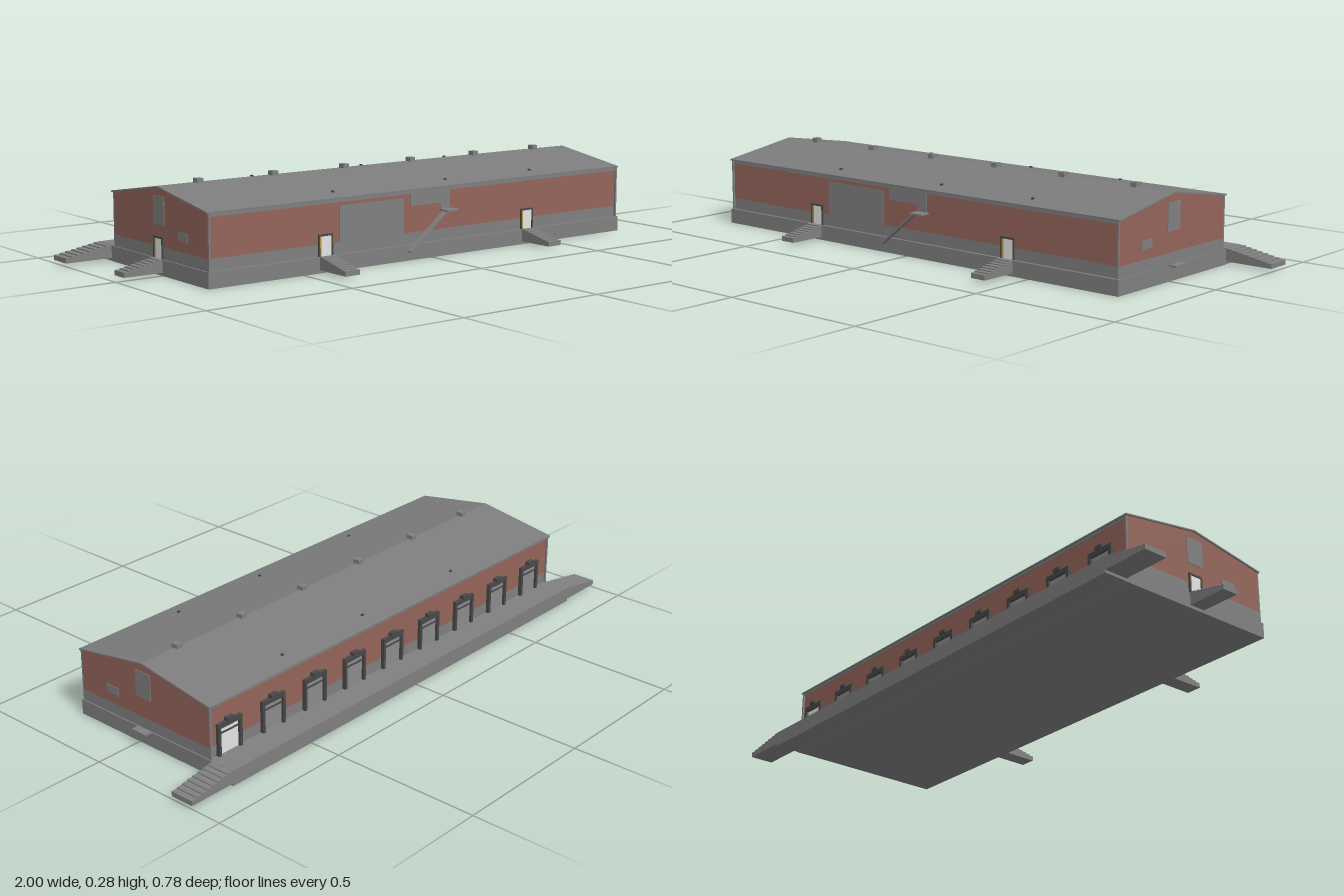
import * as THREE from 'three';

const mat = (name, color) => Object.assign(new THREE.MeshStandardMaterial({ color }), { name });

export function createModel() {
  const concrete = mat('concrete', 0x808080);
  const roofing = mat('roofing', 0x7c7c7c);
  const brick = mat('brick', 0x94655a);
  const dark = mat('dark steel', 0x484848);
  const pale = mat('pale door', 0xe4e4e2);
  const shutter = mat('shutter grey', 0x8c8c8c);
  const yellow = mat('yellow', 0xb4923c);

  const root = new THREE.Group();
  root.name = 'warehouse';

  const add = (name, geo, material, parent = root) => {
    const m = new THREE.Mesh(geo, material);
    m.name = name;
    parent.add(m);
    return m;
  };
  // Box given by its minimum and maximum on each axis
  const box = (name, material, x0, x1, y0, y1, z0, z1, parent = root) => {
    const m = add(name, new THREE.BoxGeometry(x1 - x0, y1 - y0, z1 - z0), material, parent);
    m.position.set((x0 + x1) / 2, (y0 + y1) / 2, (z0 + z1) / 2);
    return m;
  };
  // Profile of [z, y] points extruded along x
  const alongX = (name, material, pts, x0, x1) => {
    const shape = new THREE.Shape(pts.map(([z, y]) => new THREE.Vector2(-z, y)));
    const geo = new THREE.ExtrudeGeometry(shape, { depth: x1 - x0, bevelEnabled: false });
    geo.rotateY(Math.PI / 2).translate(x0, 0, 0);
    return add(name, geo, material);
  };
  // Stairs running outwards along local +x, flat underneath
  const stairs = (name, x, z, angle, run, width, steps = 8) => {
    const top = 0.051, low = 0.026, bottom = 0.01;
    const shape = new THREE.Shape();
    shape.moveTo(0, bottom);
    shape.lineTo(run, bottom);
    for (let i = steps - 1; i >= 0; i--) {
      const y = top - ((top - low) * i) / (steps - 1);
      shape.lineTo((run * (i + 1)) / steps, y);
      shape.lineTo((run * i) / steps, y);
    }
    const geo = new THREE.ExtrudeGeometry(shape, { depth: width, bevelEnabled: false });
    geo.translate(0, 0, -width / 2);
    const m = add(name, geo, concrete);
    m.position.set(x, 0, z);
    m.rotation.y = angle;
  };

  const L = -0.835, R = 0.832, F = 0.25, B = -0.295, ridge = -0.022;

  // Foundation and loading platform
  box('foundation', concrete, -0.84, 0.836, 0, 0.05, -0.31, 0.26);
  box('loadingPlatform', concrete, -0.84, 0.836, 0.001, 0.052, -0.392, -0.31);

  // Walls
  box('plinth', concrete, L, R, 0.05, 0.087, B, F);
  alongX('brickWalls', brick, [[F, 0.087], [F, 0.222], [ridge, 0.267], [B, 0.222], [B, 0.087]], L, R);

  // Roof slopes as one bent sheet
  alongX('roof', roofing, [
    [0.258, 0.221], [0.258, 0.226], [ridge, 0.271], [-0.304, 0.226],
    [-0.304, 0.221], [ridge, 0.266],
  ], -0.84, 0.836);
  for (const [z0, z1] of [[0.205, 0.198], [-0.25, -0.243]])
    for (const x of [-0.35, 0.1, 0.47]) box('roofPin', dark, x - 0.004, x + 0.004, 0.23, 0.24, Math.min(z0, z1), Math.max(z0, z1));
  for (let i = 0; i < 6; i++) {
    const x = -0.695 + i * 0.277;
    box('roofVent', concrete, x - 0.011, x + 0.011, 0.264, 0.284, -0.034, -0.01);
  }

  // Eaves bands and corner downpipes
  box('frontEavesBand', concrete, L, R, 0.211, 0.224, F, F + 0.003);
  box('backEavesBand', concrete, L, R, 0.214, 0.224, B - 0.003, B);
  for (const x of [L + 0.003, R - 0.003]) {
    box('frontDownpipe', concrete, x - 0.003, x + 0.003, 0.05, 0.224, F, F + 0.006);
    box('backDownpipe', concrete, x - 0.003, x + 0.003, 0.05, 0.224, B - 0.006, B);
  }

  // Grey panels on the front wall
  box('largeFrontPanel', concrete, -0.36, -0.11, 0.087, 0.2, F, F + 0.002);
  box('upperFrontPanel', concrete, -0.083, 0.08, 0.172, 0.212, F, F + 0.002);
  box('upperFrontPanelStep', concrete, 0.04, 0.08, 0.15, 0.172, F, F + 0.002);

  // Outside flight to the upper front panel
  box('upperLanding', concrete, 0.04, 0.09, 0.146, 0.151, F, 0.288);
  const flight = add('upperFlight', new THREE.BoxGeometry(0.187, 0.006, 0.018), concrete);
  flight.position.set(-0.026, 0.088, 0.269);
  flight.rotation.z = Math.atan2(0.116, 0.143);

  // Gable panels
  for (const [x0, x1] of [[R, R + 0.002], [L - 0.002, L]]) {
    box('tallGablePanel', concrete, x0, x1, 0.153, 0.241, -0.054, 0.01);
    box('smallGablePanel', concrete, x0, x1, 0.119, 0.146, 0.09, 0.142);
  }
  box('sideLanding', concrete, 0.836, 0.862, 0.046, 0.052, -0.053, 0.005);

  // Small doors: front pair and left gable
  const door = (x, z, angle) => {
    const g = new THREE.Group();
    g.name = 'door';
    box('doorFrameTop', dark, -0.027, 0.027, 0.112, 0.118, 0, 0.005, g);
    box('doorFrameSide', dark, -0.027, -0.022, 0.05, 0.118, 0, 0.005, g);
    box('doorFrameSide', dark, 0.022, 0.027, 0.05, 0.118, 0, 0.005, g);
    box('doorPanel', pale, -0.022, 0.022, 0.05, 0.112, 0, 0.002, g);
    box('doorEdge', yellow, -0.022, -0.016, 0.05, 0.112, 0, 0.003, g);
    g.position.set(x, 0, z);
    g.rotation.y = angle;
    root.add(g);
  };
  for (const x of [-0.415, 0.413]) {
    door(x, F, 0);
    stairs('frontStairs', x, 0.26, -Math.PI / 2, 0.13, 0.054);
  }
  door(L, -0.026, -Math.PI / 2);
  stairs('sideStairs', -0.84, -0.026, Math.PI, 0.133, 0.056);

  // Platform end stairs
  stairs('platformStairs', 0.836, -0.351, 0, 0.164, 0.082);
  stairs('platformStairs', -0.84, -0.351, Math.PI, 0.16, 0.082);

  // Nine loading docks on the back wall
  for (let i = 0; i < 9; i++) {
    const g = new THREE.Group();
    g.name = 'loadingDock';
    box('dockShutter', i === 8 ? pale : shutter, -0.04, 0.04, 0.05, 0.142, -0.003, 0, g);
    for (const s of [-1, 1]) {
      const c = s * 0.044;
      box('dockPost', dark, c - 0.005, c + 0.005, 0.05, 0.15, -0.012, 0, g);
    }
    box('dockHeader', dark, -0.049, 0.049, 0.14, 0.155, -0.012, 0, g);
    box('dockLintel', dark, -0.04, 0.04, 0.118, 0.123, -0.006, 0, g);
    box('dockLamp', dark, -0.014, 0.014, 0.155, 0.166, -0.016, 0, g);
    box('dockMarker', yellow, 0.034, 0.039, 0.05, 0.1, -0.006, 0, g);
    g.position.set(-0.725 + i * 0.185, 0, B);
    root.add(g);
  }
  return root;
}
